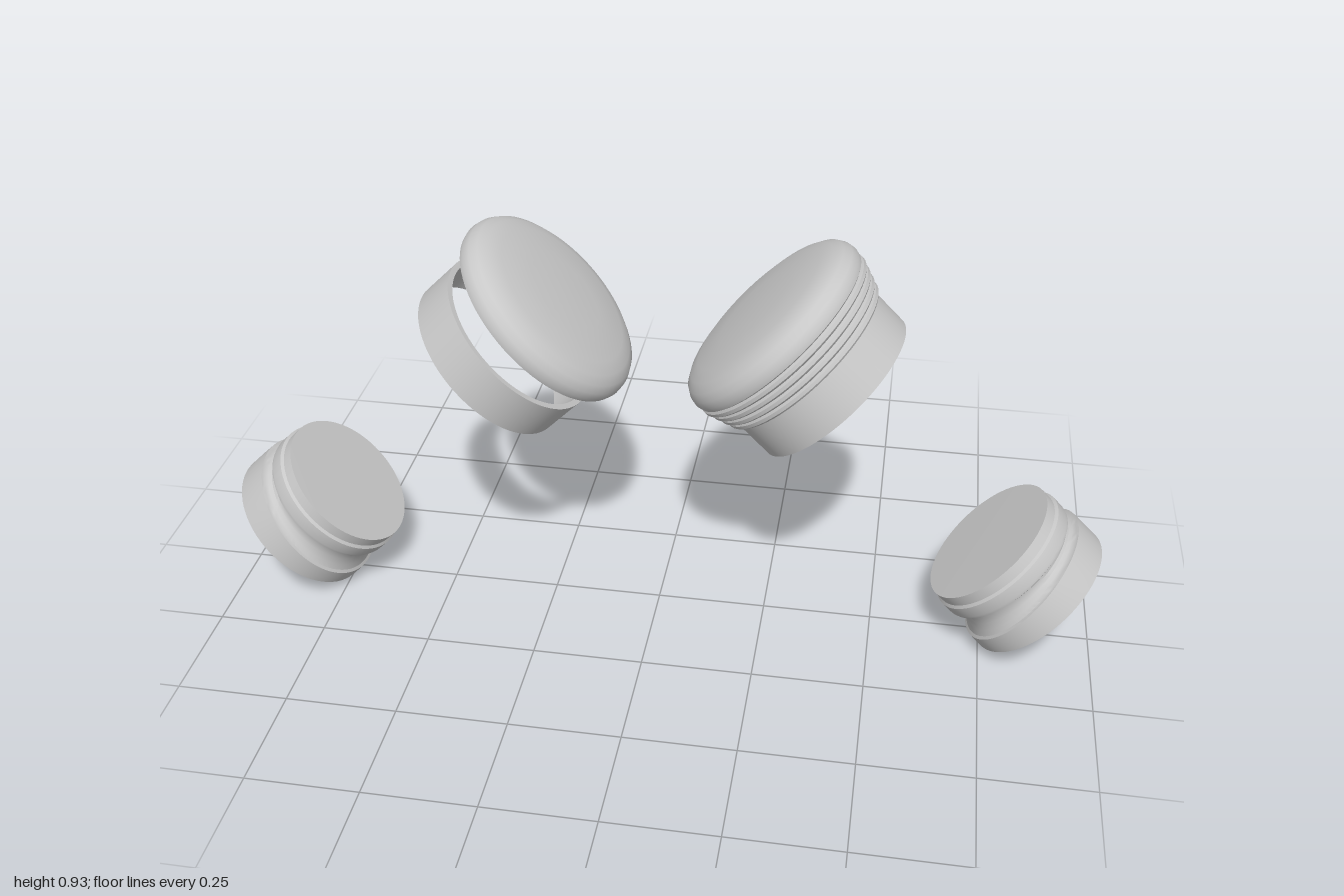
import * as THREE from 'three';
import { toCreasedNormals } from 'three/addons/utils/BufferGeometryUtils.js';

const grey = new THREE.MeshStandardMaterial({ color: 0xc8c8c8 });
grey.name = 'light grey';

// Turned part from [radius, height] pairs; bend may move its vertices
function turned(name, profile, bend) {
  let geometry = new THREE.LatheGeometry(profile.map(([r, y]) => new THREE.Vector2(r, y)), 72);
  if (bend) {
    const p = geometry.attributes.position;
    for (let i = 0; i < p.count; i++) p.setY(i, bend(p.getX(i), p.getY(i)));
  }
  geometry = toCreasedNormals(geometry, 0.5);
  const mesh = new THREE.Mesh(geometry, grey);
  mesh.name = name;
  return mesh;
}

// Shallow rounded cap
const capProfile = [
  [0, 0.178], [0.234, 0.178], [0.237, 0.19], [0.234, 0.206], [0.224, 0.222],
  [0.205, 0.234], [0.175, 0.243], [0.1, 0.25], [0, 0.252],
];
// Open collar
const collarProfile = [[0.19, 0], [0.203, 0], [0.203, 0.1], [0.19, 0.1], [0.19, 0]];
// Ridged neck with a closed ceiling inside
const neckProfile = [[0, 0.145], [0.16, 0.138], [0.19, 0.13], [0.19, 0.099], [0.212, 0.099]];
for (let i = 0; i < 4; i++) {
  const r = 0.213 + i * 0.006, y = 0.1 + i * 0.0195;
  neckProfile.push([r, y], [r + 0.004, y + 0.004], [r + 0.004, y + 0.012], [r - 0.002, y + 0.016]);
}
neckProfile.push([0.234, 0.178]);

// Plug with a groove below its flange
const plugProfile = [
  [0, 0], [0.18, 0], [0.18, 0.03], [0.179, 0.058], [0.172, 0.06], [0.164, 0.068],
  [0.158, 0.08], [0.157, 0.092], [0.16, 0.102], [0.17, 0.108], [0.172, 0.115],
  [0.172, 0.143], [0.166, 0.148], [0.166, 0.174], [0, 0.175],
];

export function createModel() {
  const model = new THREE.Group();
  model.name = 'turnedParts';
  for (const side of [1, -1]) {
    const label = side > 0 ? 'left' : 'right';

    // Upper button, leaning inwards; only the left one has a neck
    const button = new THREE.Group();
    button.name = label + 'Button';
    button.add(turned('cap', capProfile), turned('collar', collarProfile));
    if (side > 0) button.add(turned('ridgedNeck', neckProfile));
    button.position.set(side * 0.382, 0.62, 0);
    button.rotation.z = side * Math.PI / 4;
    model.add(button);

    // Lower plug, its base slanted so the groove is wider on the lower side
    const plug = turned(label + 'Plug', plugProfile, (x, y) => {
      const weight = Math.max(0, Math.min(y / 0.058, (0.102 - y) / 0.044));
      return y + weight * 0.128 * side * x;
    });
    plug.position.set(side * 0.871, 0.129, 0);
    plug.rotation.z = side * Math.PI / 4;
    model.add(plug);
  }
  return model;
}
